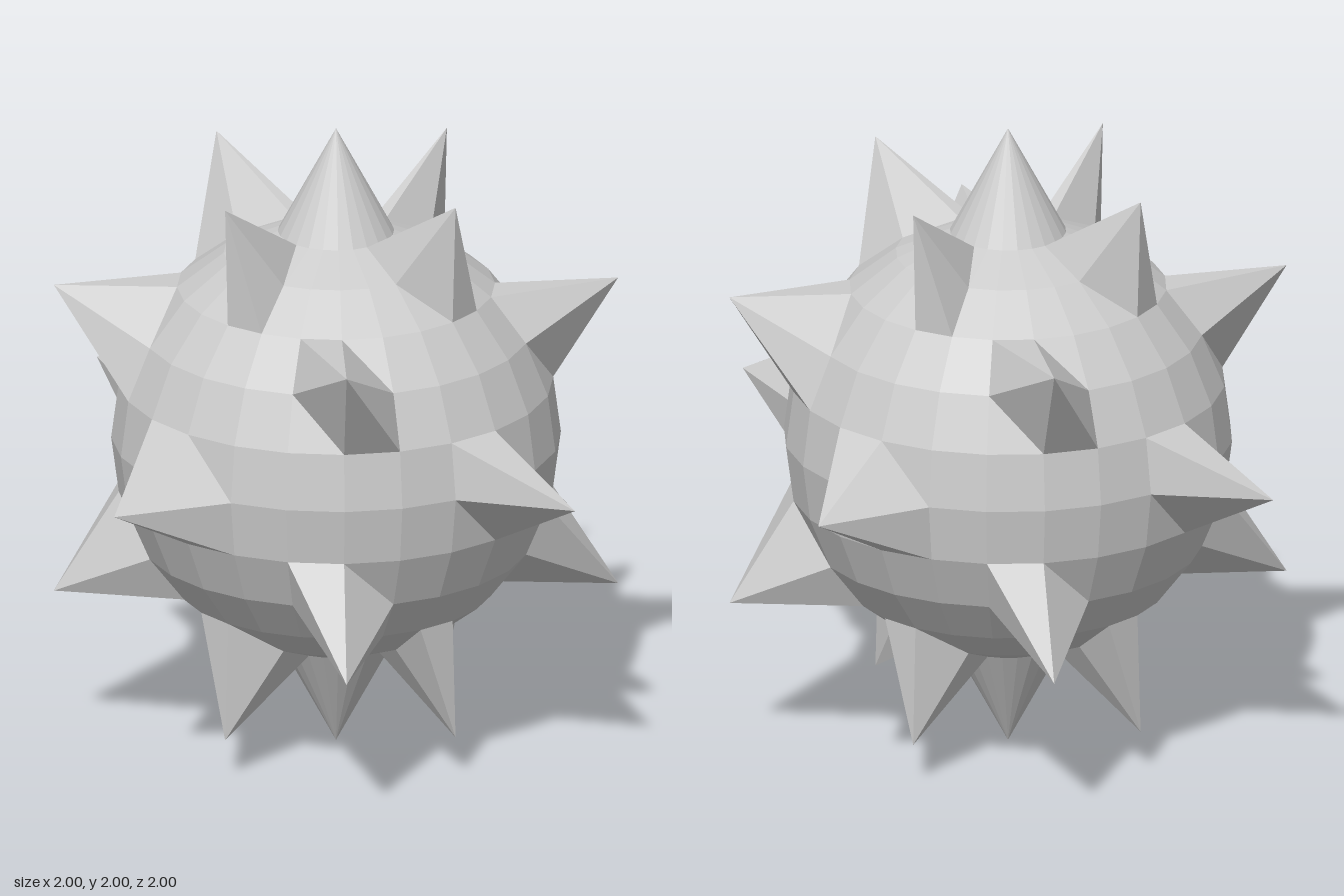
import * as THREE from 'three';

const RADIUS = 0.69, TIP = 1, COLS = 24, ROWS = 12;

// Which grid points of the ball are pulled out into spikes (15 degree steps)
function isTip(col, row) {
  if (row === 0 || row === ROWS) return true;                // poles
  if (row === 2 || row === 6 || row === 10) return col % 6 === 0; // on the axes
  if (row === 4 || row === 8) return col % 6 === 3;          // between the axes
  return false;
}

function tipName(col, row) {
  if (row === 0) return 'topSpike';
  if (row === ROWS) return 'bottomSpike';
  const band = { 2: 'highSpike', 4: 'upperSpike', 6: 'equatorSpike', 8: 'lowerSpike', 10: 'lowSpike' }[row];
  return band + (Math.floor((col % COLS) / 6) + 1);
}

export function createModel() {
  const group = new THREE.Group();
  group.name = 'spikedBall';
  const material = new THREE.MeshStandardMaterial({ color: 0xcccccc, flatShading: true });

  const ball = new THREE.SphereGeometry(RADIUS, COLS, ROWS);
  const pos = ball.attributes.position;
  const tips = [];
  const v = new THREE.Vector3();

  // Pull the chosen points straight outwards
  for (let i = 0; i < pos.count; i++) {
    const col = i % (COLS + 1), row = Math.floor(i / (COLS + 1));
    if (!isTip(col, row)) continue;
    tips[i] = tipName(col, row);
    v.fromBufferAttribute(pos, i).setLength(TIP);
    pos.setXYZ(i, v.x, v.y, v.z);
  }

  // Sort the triangles into the body and the individual spikes
  const parts = { body: [] };
  const index = ball.index.array;
  for (let i = 0; i < index.length; i += 3) {
    const tri = [index[i], index[i + 1], index[i + 2]];
    const tip = tri.find((k) => tips[k]);
    const name = tip === undefined ? 'body' : tips[tip];
    const list = (parts[name] ??= []);
    for (const k of tri) list.push(pos.getX(k), pos.getY(k) + TIP, pos.getZ(k));
  }

  for (const [name, points] of Object.entries(parts)) {
    const geometry = new THREE.BufferGeometry();
    geometry.setAttribute('position', new THREE.Float32BufferAttribute(points, 3));
    geometry.computeVertexNormals();
    const mesh = new THREE.Mesh(geometry, material);
    mesh.name = name;
    group.add(mesh);
  }
  return group;
}
